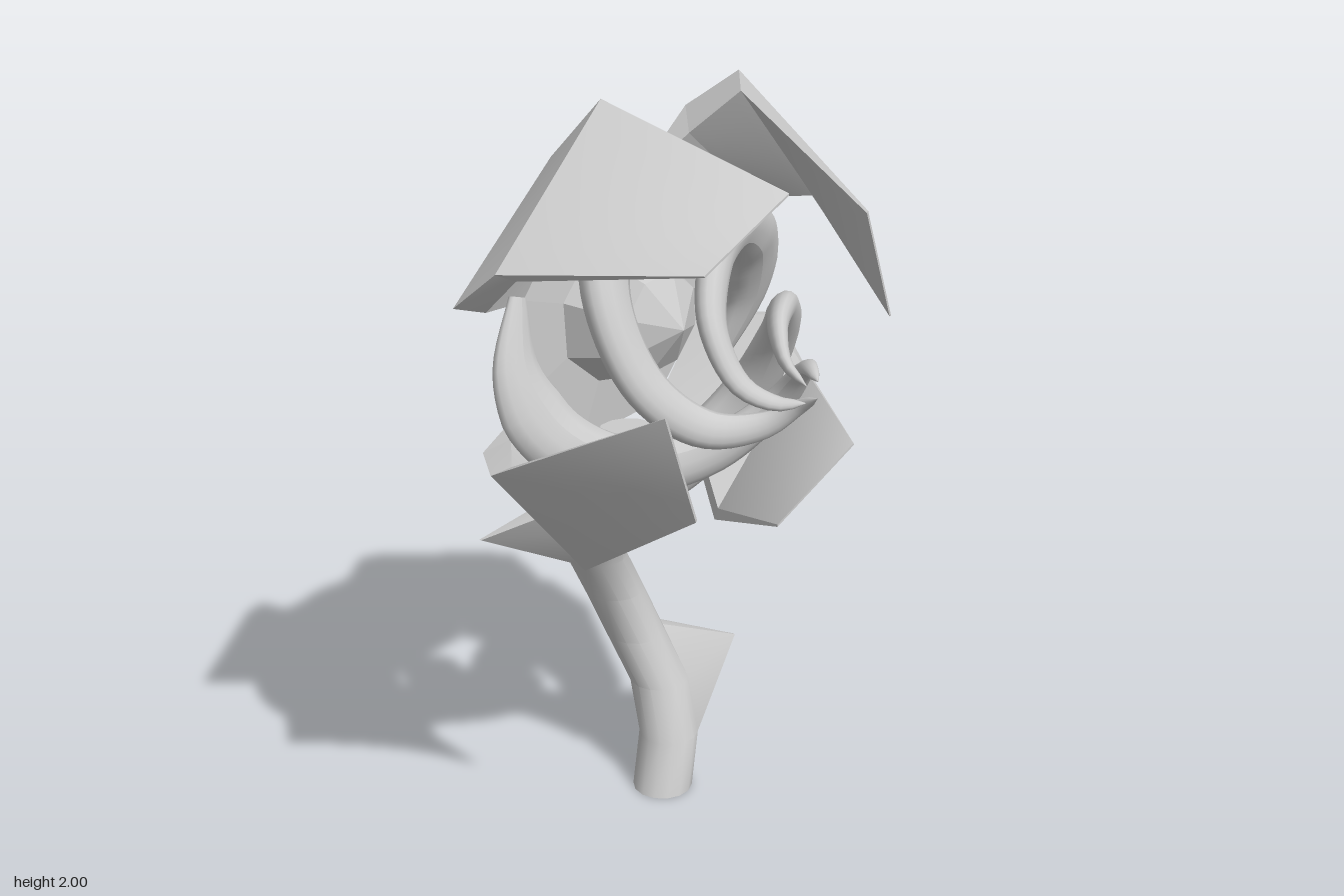
import * as THREE from 'three';
import { mergeGeometries, toCreasedNormals } from 'three/addons/utils/BufferGeometryUtils.js';

const CENTRE_Y = 1.3875;

const flat = new THREE.MeshStandardMaterial({ color: 0xcccccc, flatShading: true, side: THREE.DoubleSide });
const smooth = new THREE.MeshStandardMaterial({ color: 0xcccccc, side: THREE.DoubleSide });

function named(name, geometry, material) {
  const mesh = new THREE.Mesh(geometry, material);
  mesh.name = name;
  return mesh;
}

// Four-cornered patch, blended evenly between its corners
function patch(a, b, c, d) {
  const g = new THREE.PlaneGeometry(1, 1, 6, 6);
  const p = g.attributes.position;
  for (let k = 0; k < p.count; k++) {
    const u = p.getX(k) + 0.5, v = p.getY(k) + 0.5;
    p.setXYZ(k, ...[0, 1, 2].map((i) =>
      (a[i] * (1 - u) + b[i] * u) * (1 - v) + (d[i] * (1 - u) + c[i] * u) * v));
  }
  g.computeVertexNormals();
  return g;
}

// Folded petal: an outer skin between two edge lines, an inner skin that is
// thickest near the base, and side rims
function petalGeometry(edgeA, edgeB) {
  const inset = [[0.01, 0.96], [0.035, 0.88], [0.025, 0.925], [0, 0.985]];
  const inner = (edge) => edge.map(([x, y, z], i) =>
    [x + inset[i][0], y * inset[i][1], z * inset[i][1]]);
  const loop = [edgeA, edgeB, inner(edgeB), inner(edgeA)];
  const parts = [];
  loop.forEach((line, j) => {
    const next = loop[(j + 1) % loop.length];
    for (let i = 0; i < 3; i++) parts.push(patch(line[i], next[i], next[i + 1], line[i + 1]));
  });
  parts.push(patch(...loop.map((line) => line[3])));
  return mergeGeometries(parts);
}

// Flattened tube, widest across its radius, tapering to a point at both ends
function tentacleGeometry() {
  // [angle in degrees, distance from axis, x]
  const path = [[63, 0.405, -0.185], [88, 0.412, -0.142], [112, 0.385, -0.085], [142, 0.322, 0],
    [180, 0.24, 0.11], [220, 0.175, 0.205], [260, 0.115, 0.29], [292, 0.066, 0.355], [312, 0.03, 0.412]];
  const curve = new THREE.CatmullRomCurve3(path.map(([deg, r, x]) => {
    const a = THREE.MathUtils.degToRad(deg);
    return new THREE.Vector3(x, r * Math.sin(a), -r * Math.cos(a));
  }));
  const segs = 48, sides = 14;
  const g = new THREE.TubeGeometry(curve, segs, 1, sides);
  const p = g.attributes.position, v = new THREE.Vector3();
  for (let i = 0; i <= segs; i++) {
    const u = i / segs, c = curve.getPointAt(u);
    const radial = new THREE.Vector3(0, c.y, c.z).normalize();
    const taper = Math.pow(1 - u, 0.55);
    const wide = 0.001 + 0.105 * taper * Math.min(1, 0.25 + u * 3.5);
    const thick = 0.001 + 0.068 * taper * Math.min(1, 0.2 + u * 2.5);
    for (let j = 0; j <= sides; j++) {
      const k = i * (sides + 1) + j;
      v.fromBufferAttribute(p, k).sub(c);
      const across = v.dot(radial) * (wide - thick);
      v.multiplyScalar(thick).addScaledVector(radial, across).add(c);
      p.setXYZ(k, v.x, v.y, v.z);
    }
  }
  g.computeVertexNormals();
  return g;
}

// Bent stalk with level rings; two rings are drawn out into thorns
function stemGeometry() {
  const centres = [[-0.157, 0, -0.075], [-0.18, 0.135, -0.125], [-0.238, 0.27, -0.15],
    [-0.3, 0.4, -0.125], [-0.333, 0.535, -0.08], [-0.328, 0.665, -0.01],
    [-0.275, 0.8, 0.03], [-0.22, 0.93, 0.04], [-0.17, 1.08, 0.03]];
  const thorns = { 2: [-0.24, 0.27, -0.46], 6: [-0.413, 0.8, 0.32] };
  const radius = 0.079, sides = 14, rings = centres.length - 1;
  const g = new THREE.CylinderGeometry(radius, radius, 1, sides, rings);
  const p = g.attributes.position;
  for (let k = 0; k < p.count; k++) {
    const ring = Math.round((p.getY(k) + 0.5) * rings);
    const [cx, cy, cz] = centres[ring];
    let dx = p.getX(k), dz = p.getZ(k);
    const tip = thorns[ring];
    if (tip) {
      const tx = tip[0] - cx, tz = tip[2] - cz;
      const facing = (dx * tx + dz * tz) / (Math.hypot(tx, tz) * radius);
      if (facing > 0.88) {
        dx = tx + dx * 0.1;
        dz = tz;
      }
    }
    p.setXYZ(k, cx + dx, cy, cz + dz);
  }
  return toCreasedNormals(g, 0.6);
}

export function createModel() {
  const model = new THREE.Group();
  model.name = 'plant';
  model.add(named('stem', stemGeometry(), smooth));

  const head = new THREE.Group();
  head.name = 'flowerHead';
  head.position.y = CENTRE_Y;
  model.add(head);

  // Eight-sided back plate with a faceted core
  const profile = [[0, -0.252], [0.348, -0.25], [0.19, -0.24], [0.13, -0.085], [0, -0.01]]
    .map(([r, h]) => new THREE.Vector2(r, h));
  const plate = named('backPlate', new THREE.LatheGeometry(profile, 8, -0.33), flat);
  plate.rotation.z = -Math.PI / 2;
  head.add(plate);

  // Two petal shapes, each repeated half a turn around
  const upright = petalGeometry(
    [[-0.25, 0.31, 0.165], [-0.2, 0.46, 0.25], [-0.085, 0.612, 0.2], [0.303, 0.422, -0.01]],
    [[-0.25, 0.11, 0.33], [-0.2, 0.178, 0.576], [-0.085, 0.283, 0.55], [0.303, 0.303, 0.28]]);
  const sideways = petalGeometry(
    [[-0.25, 0.165, -0.305], [-0.2, 0.212, -0.5], [-0.085, 0.205, -0.585], [0.303, 0, -0.41]],
    [[-0.25, 0.33, -0.115], [-0.2, 0.475, -0.215], [-0.085, 0.573, -0.28], [0.303, 0.3, -0.305]]);
  for (const turn of [0, Math.PI]) {
    for (const [name, g] of [['petal', upright], ['sidePetal', sideways]]) {
      const petal = named(name, g, smooth);
      petal.rotation.x = turn;
      head.add(petal);
    }
  }

  // Four tentacles spiralling in to a common tip, set slightly off centre
  const swirl = new THREE.Group();
  swirl.name = 'tentacles';
  swirl.position.set(0, -0.03, 0.025);
  head.add(swirl);
  const arm = tentacleGeometry();
  for (let i = 0; i < 4; i++) {
    const t = named('tentacle', arm, smooth);
    t.rotation.x = i * Math.PI / 2;
    swirl.add(t);
  }
  return model;
}
